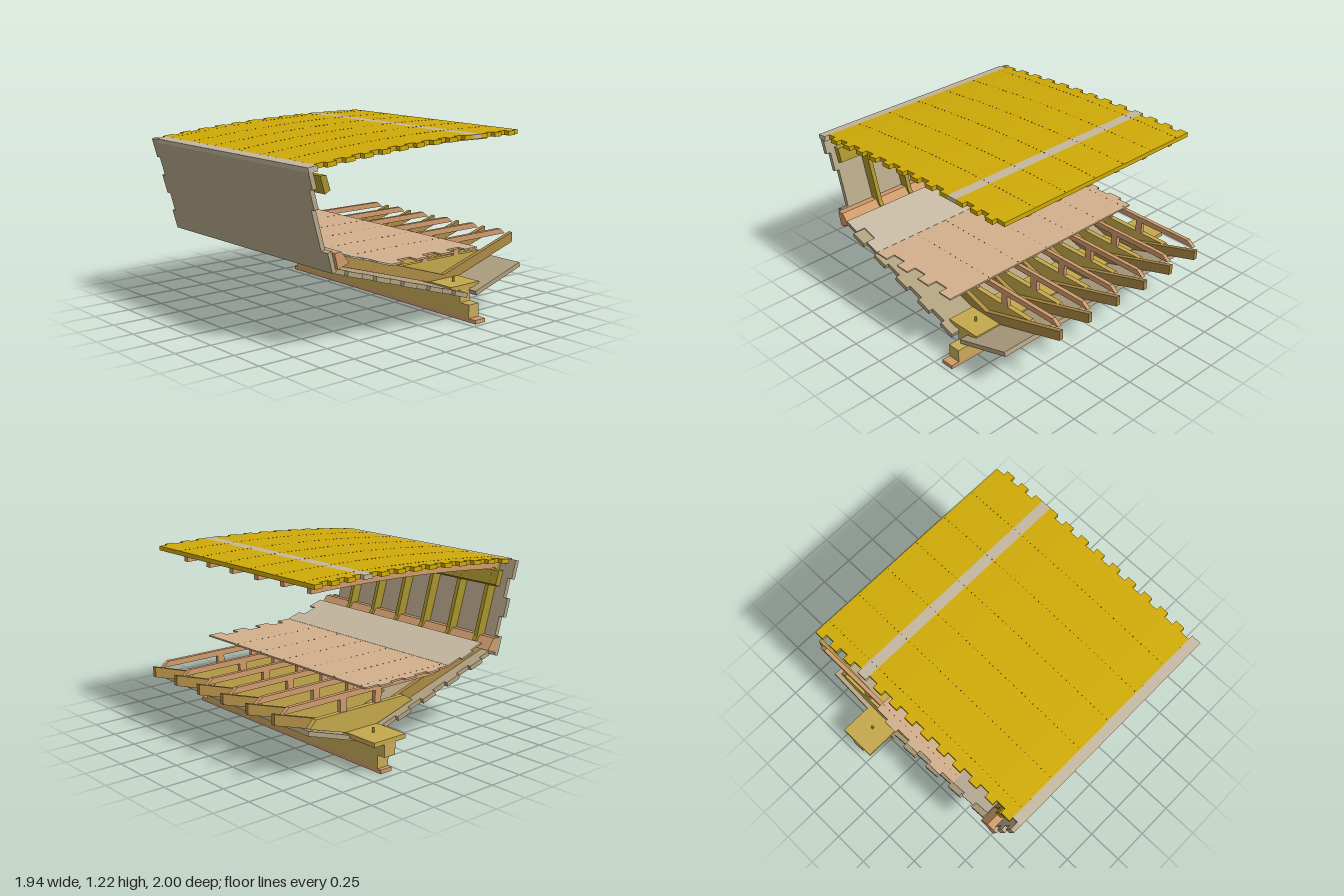
import * as THREE from 'three';
import { mergeGeometries } from 'three/addons/utils/BufferGeometryUtils.js';

const materials = {};
const mat = (c) => (materials[c] ??= new THREE.MeshStandardMaterial({ color: c }));

const DECK = 0xcfaa08, GREY = 0xc4b7a0, SIDE = 0xb5a688, HULL = 0xb0a080, ARM = 0xab8a45,
  RIB = 0xa8932c, FLOOR = 0xc4a84c, PINK = 0xcf9b6c, SOLE = 0xd2b08c, KEEL = 0xc9ab58;

// Prism along x from x0 to x1 with a cross-section of [z, y] points
function prismGeo(pts, x0, x1) {
  const shape = new THREE.Shape(pts.map(([z, y]) => new THREE.Vector2(z, y)));
  const g = new THREE.ExtrudeGeometry(shape, { depth: x1 - x0, bevelEnabled: false });
  g.rotateY(-Math.PI / 2);
  g.translate(x1, 0, 0);
  return g;
}

export function createModel() {
  const root = new THREE.Group();
  root.name = 'hullSection';

  const group = (name) => {
    const g = new THREE.Group();
    g.name = name;
    root.add(g);
    return g;
  };
  const prism = (parent, name, pts, x0, x1, color) => {
    const m = new THREE.Mesh(prismGeo(pts, x0, x1), mat(color));
    m.name = name;
    parent.add(m);
    return m;
  };
  const rect = (z0, z1, y0, y1) => [[z0, y0], [z1, y0], [z1, y1], [z0, y1]];

  // Row of planks laid along a sloping line, with staggered ends
  const planking = (name, a, b, n, t, ends, color) => {
    const g = group(name);
    const len = Math.hypot(b[0] - a[0], b[1] - a[1]);
    const nz = -(b[1] - a[1]) / len * t, ny = (b[0] - a[0]) / len * t;
    const at = (f) => [a[0] + (b[0] - a[0]) * f, a[1] + (b[1] - a[1]) * f];
    for (let i = 0; i < n; i++) {
      const p = at(i / n), q = at((i + 1) / n), [x0, x1] = ends[i % ends.length];
      prism(g, 'plank', [p, q, [q[0] + nz, q[1] + ny], [p[0] + nz, p[1] + ny]], x0, x1, color);
    }
  };

  // Keel assembly
  const keel = group('keelAssembly');
  prism(keel, 'falseKeel', rect(-0.385, -0.295, 0, 0.026), -0.94, 0.97, PINK);
  prism(keel, 'lowerKeel', rect(-0.385, -0.295, 0.026, 0.115), -0.91, 0.91, KEEL);
  prism(keel, 'upperKeel', rect(-0.385, -0.295, 0.115, 0.2), -0.97, 0.83, KEEL);
  prism(keel, 'keelPlate', rect(-0.47, -0.21, 0.2, 0.23), -0.97, 0.83, FLOOR);
  for (const x of [-0.82, 0.72]) {
    const pin = new THREE.Mesh(new THREE.CylinderGeometry(0.009, 0.009, 0.05, 10), mat(0x7d9a12));
    pin.name = 'keelBolt';
    pin.position.set(x, 0.235, -0.34);
    keel.add(pin);
  }

  // Outer planking
  const bottomEnds = [[-0.745, 0.86], [-0.77, 0.89]];
  planking('frontBottomPlanking', [0.82, 0.5], [-0.295, 0.16], 10, -0.031, bottomEnds, HULL);
  planking('backBottomPlanking', [-0.385, 0.16], [-0.8, 0.29], 4, -0.031, [[-0.745, 0.89]], HULL);
  planking('sidePlanking', [0.82, 0.5], [0.998, 1.13], 5, 0.031,
    [[-0.805, 0.89], [-0.77, 0.83], [-0.805, 0.83], [-0.77, 0.86]].map(([l, r]) => [l, r]), SIDE);

  // Deck curve, planks and margin plank
  const deckY = (z) => 1.216 - 0.0395 * (z + 0.4) ** 2;
  const deck = group('deck');
  const edges = [];
  for (let i = 0; i <= 18; i++) edges.push(0.93 - i * (1.243 / 18));
  for (let i = 0; i <= 6; i++) edges.push(-0.385 - i * (0.385 / 6));
  const seams = [];
  for (let i = 0; i < edges.length - 1; i++) {
    const a = edges[i], b = edges[i + 1], grey = i === 18, odd = i % 2;
    prism(deck, grey ? 'centrePlank' : 'deckPlank',
      [[a, deckY(a)], [b, deckY(b)], [b, deckY(b) - 0.029], [a, deckY(a) - 0.029]],
      grey || !odd ? -0.775 : -0.74, grey || odd ? 0.895 : 0.86, grey ? GREY : DECK);
    seams.push([a - 0.015, deckY(a - 0.015)], [b + 0.015, deckY(b + 0.015)]);
  }
  prism(deck, 'marginPlank', [[1, 1.137], [0.93, 1.146], [0.93, 1.108], [0.992, 1.108]], -0.745, 0.895, GREY);

  // Lengthwise timbers inside the side
  const timbers = group('stringers');
  prism(timbers, 'chineLog', [[0.8, 0.525], [0.715, 0.555], [0.775, 0.63], [0.825, 0.625]], -0.805, 0.915, PINK);
  prism(timbers, 'deckShelf', [[0.85, 0.965], [0.81, 0.985], [0.84, 1.075], [0.885, 1.075]], -0.77, 0.86, RIB);

  // Six repeated frames
  const beamTop = [], beamLow = [];
  for (let i = 0; i <= 12; i++) {
    const z = 0.92 - i * (1.64 / 12), y = deckY(z) - 0.029;
    beamTop.push([z, y]);
    beamLow.unshift([z, y - 0.05]);
  }
  const frameX = [];
  for (let i = 0; i < 6; i++) {
    const x = -0.68 + i * 0.2565, f = group('frame');
    frameX.push(x + 0.015);
    prism(f, 'frontArm', [[-0.34, 0.255], [0.72, 0.588], [0.8, 0.527], [-0.22, 0.222], [-0.34, 0.222]], x, x + 0.03, ARM);
    prism(f, 'backArm', [[-0.34, 0.255], [-1, 0.455], [-1, 0.385], [-0.46, 0.222], [-0.34, 0.222]], x, x + 0.03, ARM);
    prism(f, 'floorTimber', [[0.03, 0.365], [-0.71, 0.365], [-0.76, 0.315], [-0.46, 0.225], [-0.22, 0.225], [0.1, 0.32]],
      x - 0.035, x, FLOOR);
    prism(f, 'sideRib', [[0.79, 0.53], [0.72, 0.585], [0.745, 0.62], [0.885, 1.11], [0.962, 1.11]], x, x + 0.03, RIB);
    prism(f, 'kneeBracket', [[0.86, 1.02], [0.81, 0.99], [0.835, 1.06], [0.875, 1.085]], x - 0.03, x, RIB);
    prism(f, 'deckBeam', [...beamTop, ...beamLow], x - 0.004, x + 0.034, PINK);
    prism(f, 'soleBeam', [[0.42, 0.486], [-0.91, 0.486], [-0.96, 0.448], [0.3, 0.448]], x - 0.028, x, PINK);
    for (const z of [-0.195, -0.485])
      prism(f, 'solePost', rect(z - 0.026, z + 0.026, 0.36, 0.45), x - 0.028, x, PINK);
  }

  // Inner floor and sloping lining
  const inner = [[-0.745, 0.925], [-0.77, 0.86]];
  planking('solePlanking', [-0.34, 0.487], [0.4, 0.487], 7, 0.011, inner, SOLE);
  planking('innerLining', [0.4, 0.489], [0.72, 0.588], 3, 0.011, inner, GREY);

  // Nail heads over every frame
  const nails = [];
  const addNail = (x, y, z) => {
    const g = new THREE.CylinderGeometry(0.004, 0.004, 0.006, 6);
    g.translate(x, y - 0.001, z);
    nails.push(g);
  };
  for (const x of frameX) {
    for (const [z, y] of seams) addNail(x, y, z);
    for (let i = 0; i < 14; i++) addNail(x - 0.028, 0.498, -0.325 + i * 0.0535);
  }
  const nailMesh = new THREE.Mesh(mergeGeometries(nails), mat(0x6b5510));
  nailMesh.name = 'nailHeads';
  root.add(nailMesh);

  return root;
}
